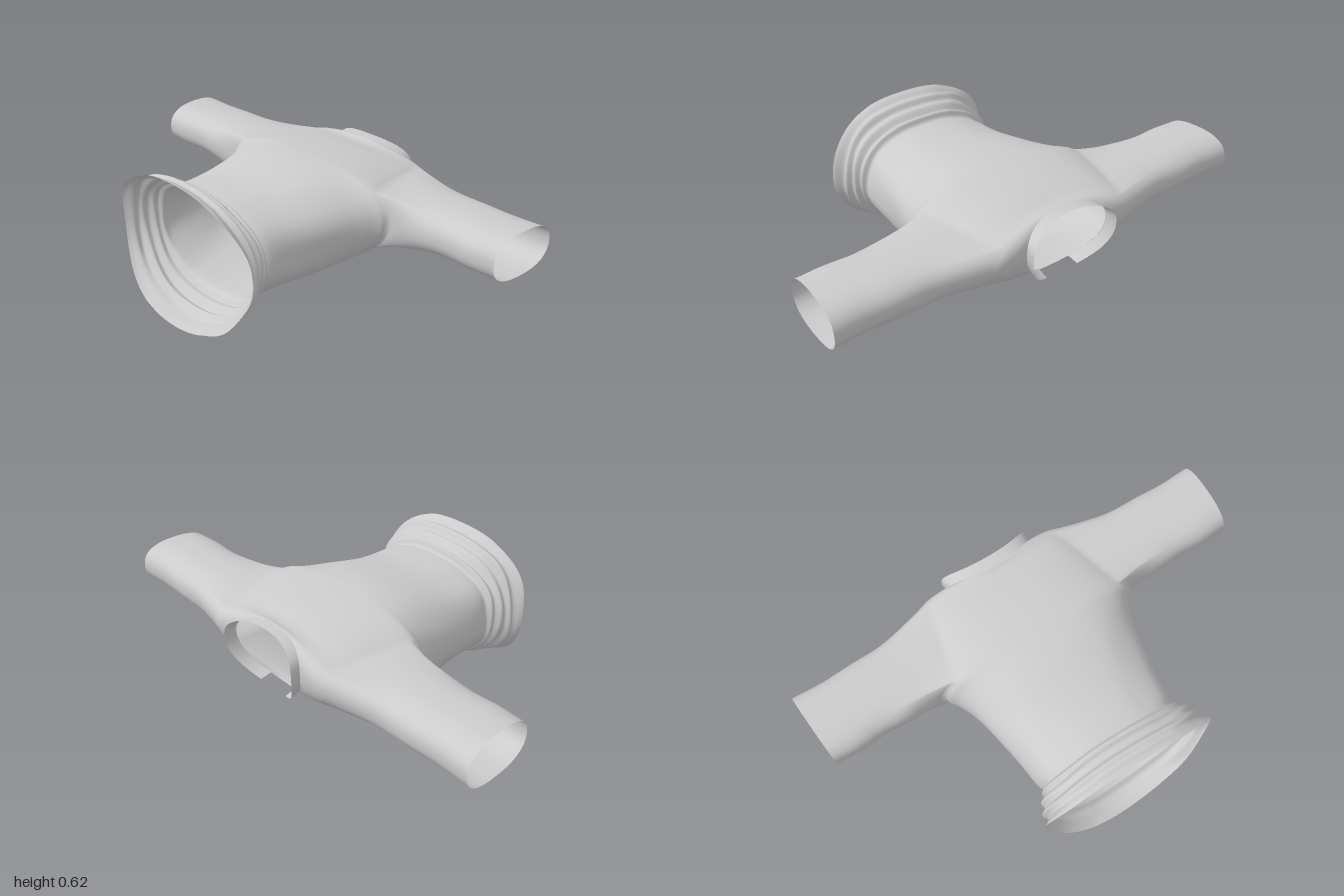
import * as THREE from 'three';

// Garment lying along x: hem at -x, neck at +x, sleeves along +z and -z.
// Each row: x at side, x at top, x at bottom, top y, bottom y, half width, y of widest line
const ROWS = [
  [-0.53, -0.565, -0.60, 0.620, 0.003, 0.410, 0.32],
  [-0.52, -0.545, -0.57, 0.612, 0.010, 0.400, 0.32],
  [-0.50, -0.52, -0.54, 0.597, 0.014, 0.375, 0.32],
  [-0.475, -0.495, -0.51, 0.603, 0.020, 0.385, 0.32],
  [-0.46, -0.475, -0.485, 0.578, 0.042, 0.360, 0.32],
  [-0.435, -0.45, -0.46, 0.575, 0.032, 0.365, 0.32],
  [-0.42, -0.425, -0.43, 0.550, 0.058, 0.340, 0.32],
  [-0.40, -0.41, -0.40, 0.550, 0.056, 0.345, 0.32],
  [-0.385, -0.395, -0.38, 0.525, 0.076, 0.325, 0.31],
  [-0.35, -0.35, -0.34, 0.525, 0.085, 0.335, 0.31],
  [-0.20, -0.20, -0.20, 0.530, 0.085, 0.350, 0.31],
  [0.00, 0.00, 0.00, 0.562, 0.085, 0.390, 0.33],
  [0.10, 0.10, 0.10, 0.567, 0.092, 0.430, 0.36],
  [0.155, 0.15, 0.15, 0.565, 0.115, 0.465, 0.385],
  [0.27, 0.25, 0.23, 0.557, 0.155, 0.440, 0.395],
  [0.40, 0.36, 0.33, 0.542, 0.205, 0.410, 0.40],
  [0.50, 0.44, 0.41, 0.525, 0.235, 0.380, 0.41],
  [0.545, 0.475, 0.445, 0.525, 0.243, 0.345, 0.41],
  [0.555, 0.49, 0.46, 0.530, 0.245, 0.270, 0.42],
  [0.55, 0.50, 0.47, 0.530, 0.245, 0.205, 0.43],
];
const N = 96, SUB = 4, LAST = (ROWS.length - 1) * SUB;
const ARM_START = 13 * SUB, ARM_END = 17 * SUB, ARM_HALF = 9;
const SLEEVE_RINGS = 28;

// Smooth interpolation of the rows
function station(j) {
  const k = Math.min(Math.floor(j / SUB), ROWS.length - 2), t = j / SUB - k;
  const row = (i) => ROWS[Math.max(0, Math.min(ROWS.length - 1, i))];
  return ROWS[0].map((_, c) => {
    const [a, b, d, e] = [row(k - 1)[c], row(k)[c], row(k + 1)[c], row(k + 2)[c]];
    return b + 0.5 * t * (d - a + t * (2 * a - 5 * b + 4 * d - e + t * (3 * (b - d) + e - a)));
  });
}

// Point on the torso; angle 0 is the +z side, 90 degrees is the top
function torsoPoint(j, angle) {
  const [xs, xt, xb, top, bottom, w, mid] = station(j);
  const c = Math.cos(angle), s = Math.sin(angle), p = s > 0 ? 0.85 : 1;
  const x = THREE.MathUtils.lerp(xs, s > 0 ? xt : xb, s * s);
  // Soft wrinkles, strongest in the gathered hem
  const hem = THREE.MathUtils.smoothstep(-x, 0.33, 0.45);
  const body = THREE.MathUtils.smoothstep(-x, -0.12, 0.1) * (1 - hem);
  const ripple = 1 + hem * 0.012 * Math.sin(5 * angle + 45 * x) + body * 0.01 * Math.sin(7 * angle + 9 * x);
  const h = s > 0 ? top - mid : mid - bottom;
  const y = mid + Math.sign(s) * h * Math.abs(s) ** p * (Math.abs(s) > 0.9 ? 1 : ripple);
  return new THREE.Vector3(
    x + hem * 0.006 * Math.sin(4 * angle + 1),
    Math.max(0, y),
    Math.sign(c) * w * Math.abs(c) ** p * ripple
  );
}

const angleOf = (i) => -Math.PI / 2 + (i / N) * Math.PI * 2;

export function createModel() {
  const group = new THREE.Group();
  const material = new THREE.MeshStandardMaterial({ color: 0xcccccc, side: THREE.DoubleSide });
  const positions = [];
  const push = (v) => positions.push(v.x, v.y, v.z) / 3 - 1;
  const quad = (list, a, b, c, d) => list.push(a, b, c, a, c, d);
  const vertex = (j, i) => j * N + ((i + N) % N);

  // Torso: rings along x, leaving out a patch on each side for the armholes
  const torso = [];
  for (let j = 0; j <= LAST; j++) {
    for (let i = 0; i < N; i++) push(torsoPoint(j, angleOf(i)));
  }
  const armCentres = [N / 4, (3 * N) / 4];
  for (let j = 0; j < LAST; j++) {
    for (let i = 0; i < N; i++) {
      const inArmhole = j >= ARM_START && j < ARM_END &&
        armCentres.some((m) => i >= m - ARM_HALF && i < m + ARM_HALF);
      if (!inArmhole) quad(torso, vertex(j, i), vertex(j + 1, i), vertex(j + 1, i + 1), vertex(j, i + 1));
    }
  }

  // Sleeves: lofted from the armhole edge to an oval tube
  const sleeves = armCentres.map((m) => {
    const lo = m - ARM_HALF, hi = m + ARM_HALF, index = [];
    let ring = [];
    for (let j = ARM_START; j < ARM_END; j++) ring.push(vertex(j, lo));
    for (let i = lo; i < hi; i++) ring.push(vertex(ARM_END, i));
    for (let j = ARM_END; j > ARM_START; j--) ring.push(vertex(j, hi));
    for (let i = hi; i > lo; i--) ring.push(vertex(ARM_START, i));
    const side = m === N / 4 ? 1 : -1;
    const start = ring.map((v) => new THREE.Vector3().fromArray(positions, v * 3));
    for (let r = 1; r <= SLEEVE_RINGS; r++) {
      const t = r / SLEEVE_RINGS;
      const blend = 1 - (1 - Math.min(1, t / 0.6)) ** 2;
      const next = start.map((p) => {
        const a = Math.atan2((p.y - 0.375) / 0.13, (p.x - 0.33) / 0.2);
        const c = Math.cos(a), s = Math.sin(a);
        const x = 0.32 + 0.167 * Math.sign(c) * Math.abs(c) ** 0.8 + 0.003 * Math.sin(t * 14);
        const y = 0.39 + 0.097 * Math.sign(s) * Math.abs(s) ** 0.85;
        const end = side * (0.99 + (x - 0.32) * 0.06);
        return push(new THREE.Vector3(
          THREE.MathUtils.lerp(p.x, x, blend),
          THREE.MathUtils.lerp(p.y, y, blend),
          THREE.MathUtils.lerp(p.z, end, t)
        ));
      });
      ring.forEach((v, k) => {
        const k2 = (k + 1) % ring.length;
        quad(index, v, ring[k2], next[k2], next[k]);
      });
      ring = next;
    }
    return index;
  });

  // Shared normals keep the armhole seams smooth
  const whole = new THREE.BufferGeometry();
  whole.setAttribute('position', new THREE.Float32BufferAttribute(positions, 3));
  whole.setIndex([...torso, ...sleeves[0], ...sleeves[1]]);
  whole.computeVertexNormals();
  const addPart = (name, index) => {
    const geometry = new THREE.BufferGeometry();
    geometry.setAttribute('position', whole.attributes.position);
    geometry.setAttribute('normal', whole.attributes.normal);
    geometry.setIndex(index);
    const mesh = new THREE.Mesh(geometry, material);
    mesh.name = name;
    group.add(mesh);
  };
  addPart('torso', torso);
  addPart('frontSleeve', sleeves[0]);
  addPart('backSleeve', sleeves[1]);

  // Collar: a thin band round the neck with a gap at the bottom
  const band = [], bandIndex = [], STEPS = 72;
  for (let k = 0; k <= STEPS; k++) {
    const a = THREE.MathUtils.degToRad(-68 + (316 * k) / STEPS);
    const p = torsoPoint(LAST, a);
    band.push(p.x - 0.005, p.y, p.z);
    band.push(p.x + 0.048, p.y + (a < 0 || a > Math.PI ? -0.012 : 0), p.z * 1.04);
    if (k < STEPS) quad(bandIndex, 2 * k, 2 * k + 1, 2 * k + 3, 2 * k + 2);
  }
  const bandGeometry = new THREE.BufferGeometry();
  bandGeometry.setAttribute('position', new THREE.Float32BufferAttribute(band, 3));
  bandGeometry.setIndex(bandIndex);
  bandGeometry.computeVertexNormals();
  const collar = new THREE.Mesh(bandGeometry, material);
  collar.name = 'collar';
  group.add(collar);

  return group;
}
